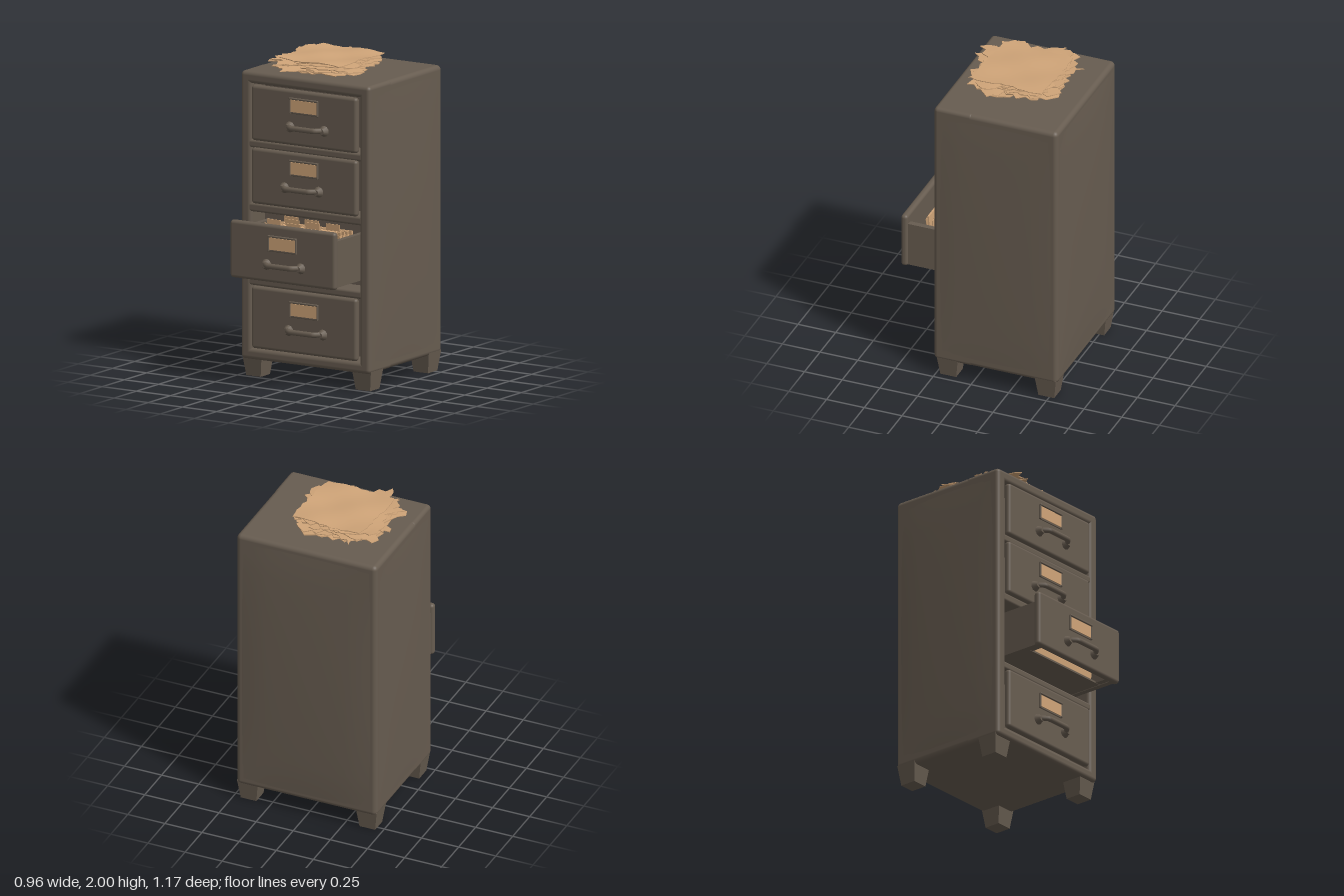
import * as THREE from 'three';
import { RoundedBoxGeometry } from 'three/addons/geometries/RoundedBoxGeometry.js';

export function createModel() {
  const steel = new THREE.MeshStandardMaterial({ color: 0x675c50 });
  steel.name = 'brown grey steel';
  const paper = new THREE.MeshStandardMaterial({ color: 0xcfa478 });
  paper.name = 'tan paper';

  const model = new THREE.Group();
  model.name = 'filingCabinet';

  let seed = 7;
  const rand = () => (seed = (seed * 16807) % 2147483647) / 2147483647;

  function add(parent, name, geometry, material, x = 0, y = 0, z = 0) {
    const mesh = new THREE.Mesh(geometry, material);
    mesh.name = name;
    mesh.position.set(x, y, z);
    parent.add(mesh);
    return mesh;
  }
  // rounded block given by its limits on each axis
  function block(parent, name, x0, x1, y0, y1, z0, z1, r, material = steel) {
    const g = new RoundedBoxGeometry(x1 - x0, y1 - y0, z1 - z0, 3, r);
    return add(parent, name, g, material, (x0 + x1) / 2, (y0 + y1) / 2, (z0 + z1) / 2);
  }
  // sheet-metal panel that bulges gently outward
  function bulgedPanel(name, w, h, depth) {
    const g = new THREE.PlaneGeometry(w, h, 10, 16);
    const p = g.attributes.position;
    for (let i = 0; i < p.count; i++) {
      const u = Math.cos((p.getX(i) / w) * Math.PI), v = Math.cos((p.getY(i) / h) * Math.PI);
      p.setZ(i, depth * Math.sqrt(Math.max(0, u * v)) - 0.001);
    }
    g.computeVertexNormals();
    return add(model, name, g, steel);
  }

  // cabinet shell, with a recess left open behind the front frame
  block(model, 'cabinetBody', -0.472, 0.472, 0.11, 1.91, -0.56, 0.1, 0.03);
  for (const s of [-1, 1]) {
    const a = s * 0.395, b = s * 0.472;
    block(model, 'frontPost', Math.min(a, b), Math.max(a, b), 0.11, 1.91, 0, 0.26, 0.025);
    const side = bulgedPanel('sidePanel', 0.76, 1.74, 0.01);
    side.position.set(s * 0.472, 1.01, -0.15);
    side.rotation.y = s * Math.PI / 2;
  }
  const back = bulgedPanel('backPanel', 0.88, 1.74, 0.02);
  back.position.set(0, 1.01, -0.56);
  back.rotation.y = Math.PI;
  block(model, 'topRail', -0.472, 0.472, 1.835, 1.91, 0, 0.26, 0.025);
  block(model, 'bottomRail', -0.472, 0.472, 0.11, 0.18, 0, 0.26, 0.025);
  for (const [y0, y1] of [[0.575, 0.625], [1.035, 1.09], [1.435, 1.485]])
    block(model, 'crossRail', -0.42, 0.42, y0, y1, 0.05, 0.256, 0.015);

  // tapered feet
  for (const x of [-0.4, 0.4]) for (const z of [0.17, -0.48]) {
    const g = new THREE.CylinderGeometry(0.14 / Math.SQRT2, 0.105 / Math.SQRT2, 0.13, 4)
      .rotateY(Math.PI / 4).toNonIndexed();
    g.computeVertexNormals();
    add(model, 'foot', g, steel, x, 0.065, z);
  }

  // bent bar handle with flared mounts
  function makeHandle() {
    const handle = new THREE.Group();
    handle.name = 'handle';
    const path = new THREE.CatmullRomCurve3([
      [-0.13, 0], [-0.115, 0.025], [-0.09, 0.05], [-0.07, 0.054],
      [0.07, 0.054], [0.09, 0.05], [0.115, 0.025], [0.13, 0],
    ].map(([x, z]) => new THREE.Vector3(x, 0, z)), false, 'catmullrom', 0.3);
    add(handle, 'handleBar', new THREE.TubeGeometry(path, 32, 0.017, 8), steel);
    for (const s of [-1, 1]) {
      const mount = new THREE.CylinderGeometry(0.018, 0.036, 0.035, 10).rotateX(Math.PI / 2);
      add(handle, 'handleMount', mount, steel, s * 0.125, -0.004, 0.015);
    }
    return handle;
  }

  // drawer front with label holder and handle; z is its front face
  function drawerFront(y0, y1, z, labelY, handleX, handleY) {
    const front = new THREE.Group();
    front.name = 'drawerFront';
    model.add(front);
    block(front, 'drawerPanel', -0.385, 0.385, y0, y1, z - 0.045, z, 0.02);
    block(front, 'labelBacking', -0.1, 0.11, labelY - 0.05, labelY + 0.05, z - 0.01, z + 0.005, 0.005);
    add(front, 'label', new THREE.BoxGeometry(0.19, 0.076, 0.006), paper, 0.005, labelY, z + 0.006);
    block(front, 'labelLip', -0.1, 0.11, labelY + 0.04, labelY + 0.052, z, z + 0.016, 0.005);
    for (const x of [-0.1, 0.1])
      block(front, 'labelEdge', x, x + 0.01, labelY - 0.05, labelY + 0.05, z, z + 0.013, 0.004);
    const handle = makeHandle();
    handle.position.set(handleX, handleY, z);
    front.add(handle);
  }
  drawerFront(1.485, 1.832, 0.275, 1.735, 0.025, 1.605);
  drawerFront(1.09, 1.44, 0.275, 1.345, -0.015, 1.22);
  drawerFront(0.67, 1.03, 0.515, 0.915, 0.01, 0.785);
  drawerFront(0.185, 0.575, 0.275, 0.46, 0.015, 0.33);

  // tray of the pulled-out drawer
  const tray = new THREE.Group();
  tray.name = 'openDrawerTray';
  model.add(tray);
  for (const s of [-1, 1]) {
    add(tray, 'traySide', new THREE.BoxGeometry(0.035, 0.29, 0.39), steel, s * 0.353, 0.825, 0.285);
    add(tray, 'trayRail', new THREE.BoxGeometry(0.035, 0.25, 0.39), steel, s * 0.318, 0.81, 0.285);
  }
  add(tray, 'trayFloor', new THREE.BoxGeometry(0.7, 0.012, 0.29), steel, 0, 0.69, 0.245);

  // hanging files with staggered tabs
  for (let i = 0; i < 7; i++) {
    const z = 0.14 + i * 0.038, h = 0.27 + rand() * 0.02;
    const file = new THREE.Group();
    file.name = 'file';
    file.position.set((rand() - 0.5) * 0.02, 0.7, z);
    file.rotation.x = 0.02 + rand() * 0.03;
    add(file, 'fileSheet', new THREE.BoxGeometry(0.53, h, 0.012), paper, 0, h / 2, 0);
    add(file, 'fileCover', new THREE.BoxGeometry(0.53, h - 0.02, 0.006), paper, 0, h / 2 - 0.01, 0.014);
    add(file, 'fileTab', new THREE.BoxGeometry(0.1, 0.05, 0.006), paper, ((i * 2) % 5 - 2) * 0.09, h + 0.015, 0);
    tray.add(file);
  }

  // crumpled sheets, thin boxes with ragged edges and soft creases
  function sheet(w, d, x, y, z, turn, ragged) {
    const g = new THREE.BoxGeometry(w, 0.005, d, 12, 1, 12);
    const p = g.attributes.position, k = rand() * 6;
    for (let i = 0; i < p.count; i++) {
      const px = p.getX(i), pz = p.getZ(i);
      const rx = Math.sin(pz * 47 + k) * Math.sin(pz * 23 + k * 2) * ragged;
      const rz = Math.sin(px * 43 + k * 3) * Math.sin(px * 29 + k) * ragged;
      const wave = Math.sin(px * 17 + k) * Math.cos(pz * 14 + k * 2) * 0.006;
      p.setXYZ(i, px + rx * 2 * px / w, p.getY(i) + wave - pz * 0.02, pz + rz * 2 * pz / d);
    }
    g.computeVertexNormals();
    add(model, 'paperSheet', g, paper, x, y, z).rotation.y = turn;
  }
  const turns = [0.28, -0.12, 0.5, -0.3, 0.12, -0.2, 0.35, 0.08];
  turns.forEach((turn, i) => sheet(0.48, 0.48, -0.08 + (rand() - 0.5) * 0.04, 1.922 + i * 0.008,
    -0.11 + (rand() - 0.5) * 0.06, turn, 0.035));
  sheet(0.47, 0.48, -0.05, 1.987, -0.115, -0.05, 0.012);

  return model;
}
